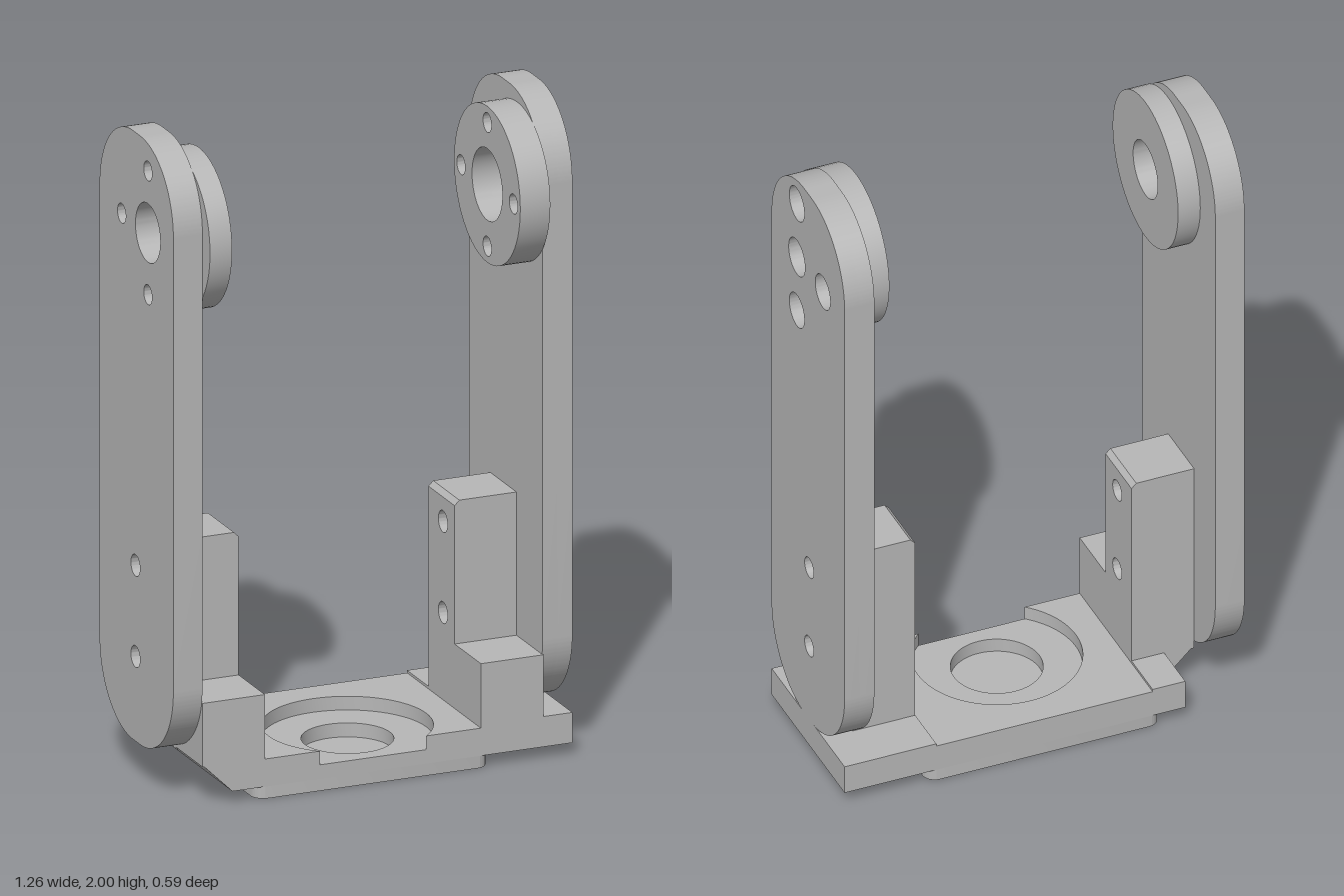
import * as THREE from 'three';
import { toCreasedNormals } from 'three/addons/utils/BufferGeometryUtils.js';

const BACK = -0.295, FRONT = 0.24;      // z limits of the bracket
const HUB = { z: 0.055, y: 1.72 };      // pivot axis

export function createModel() {
  const model = new THREE.Group();
  model.name = 'uBracket';
  const metal = new THREE.MeshStandardMaterial({ color: 0xb6b6b6 });
  metal.name = 'grey metal';

  const add = (name, geometry, parent = model) => {
    const mesh = new THREE.Mesh(toCreasedNormals(geometry, 0.5), metal);
    mesh.name = name;
    parent.add(mesh);
    return mesh;
  };
  const box = (name, x0, x1, y0, y1, z0, z1, parent) =>
    add(name, new THREE.BoxGeometry(x1 - x0, y1 - y0, z1 - z0)
      .translate((x0 + x1) / 2, (y0 + y1) / 2, (z0 + z1) / 2).toNonIndexed(), parent);
  const extrude = (shape, depth) =>
    new THREE.ExtrudeGeometry(shape, { depth, bevelEnabled: false, curveSegments: 32 });
  // Shape drawn in (-z, y), extruded along x
  const alongX = (shape, x0, x1) =>
    extrude(shape, x1 - x0).rotateY(Math.PI / 2).translate(x0, 0, 0);
  // Shape drawn in (x, -z), extruded upward
  const alongY = (shape, y0, y1) =>
    extrude(shape, y1 - y0).rotateX(-Math.PI / 2).translate(0, y0, 0);

  const roundedRect = (x0, x1, y0, y1, r) => {
    const s = new THREE.Shape();
    s.absarc(x1 - r, y0 + r, r, -Math.PI / 2, 0);
    s.absarc(x1 - r, y1 - r, r, 0, Math.PI / 2);
    s.absarc(x0 + r, y1 - r, r, Math.PI / 2, Math.PI);
    s.absarc(x0 + r, y0 + r, r, Math.PI, Math.PI * 1.5);
    s.closePath();
    return s;
  };
  const circle = (z, y, r) => new THREE.Path().absarc(-z, y, r, 0, Math.PI * 2, true);
  const rect = (z0, z1, y0, y1) => new THREE.Shape([
    new THREE.Vector2(-z1, y0), new THREE.Vector2(-z0, y0),
    new THREE.Vector2(-z0, y1), new THREE.Vector2(-z1, y1)]);

  const screws = (r) => [circle(-0.035, 0.39, r), circle(-0.035, 0.67, r)];
  const hubScrews = (r) => [
    circle(HUB.z, HUB.y + 0.19, r), circle(HUB.z, HUB.y - 0.19, r),
    circle(HUB.z - 0.19, HUB.y, r)];

  // Upright arms
  const armLayer = (name, x0, x1, hubR, screwR) => {
    const s = roundedRect(-FRONT, -BACK, 0.13, 2, 0.24);
    s.holes = [circle(HUB.z, HUB.y, hubR), ...hubScrews(screwR), ...screws(0.033)];
    add(name, alongX(s, x0, x1));
  };
  armLayer('leftArmInner', 0.538, 0.585, 0.06, 0.03);
  armLayer('leftArmOuter', 0.585, 0.632, 0.06, 0.055);   // counterbored screws
  armLayer('rightArm', -0.632, -0.54, 0.09, 0.03);

  // Pivot discs on the inner faces of the arms
  const disc = (name, x0, x1, holes) => {
    const s = new THREE.Shape();
    s.absarc(-HUB.z, HUB.y, 0.24, 0, Math.PI * 2);
    s.holes = holes;
    add(name, alongX(s, x0, x1));
  };
  disc('leftPivotDisc', 0.443, 0.538, [circle(HUB.z, HUB.y, 0.11),
    ...hubScrews(0.03), circle(HUB.z + 0.19, HUB.y, 0.03)]);
  disc('rightPivotDisc', -0.54, -0.47, [circle(HUB.z, HUB.y, 0.09)]);

  // Mounting posts with blind screw holes and front steps
  for (const [side, label] of [[1, 'left'], [-1, 'right']]) {
    const post = new THREE.Group();
    post.name = label + 'Post';
    model.add(post);
    const layer = (name, a, b, holes, chamfer) => {
      const s = rect(-0.14, 0.05, 0.12, 0.76);
      s.holes = holes;
      const g = alongX(s, Math.min(a * side, b * side), Math.max(a * side, b * side));
      if (chamfer) {
        const p = g.attributes.position;
        for (let i = 0; i < p.count; i++)
          if (Math.abs(p.getX(i) - a * side) < 1e-4 && p.getY(i) > 0.75) p.setY(i, 0.745);
        g.computeVertexNormals();
      }
      add(name, g, post);
    };
    layer('postFace', 0.342, 0.357, screws(0.033), true);
    layer('postMiddle', 0.357, 0.43, screws(0.033));
    layer('postRoot', 0.43, 0.54, []);
    const xs = [0.342 * side, 0.54 * side].sort((a, b) => a - b);
    box('frontStep', xs[0], xs[1], 0.125, 0.32, 0.05, FRONT, post);
  }

  // Base wings: a full one on the left, a chamfered one on the right
  box('leftWing', 0.342, 0.632, 0.037, 0.13, BACK, FRONT);
  const wing = new THREE.Shape([[-0.342, 0.037], [-0.342, 0.13], [-0.54, 0.13], [-0.445, 0.037]]
    .map(([x, y]) => new THREE.Vector2(x, y)));
  add('rightWing', extrude(wing, FRONT + 0.14).translate(0, 0, -0.14));
  box('rightWingTab', -0.445, -0.342, 0.037, 0.13, BACK, -0.14);

  // Base centre: lower layer with bore, upper layer with a round seat open to the front
  const floor = rect(-0.342, 0.342, -FRONT, -BACK);
  floor.holes = [circle(0, -HUB.z, 0.135)];
  add('baseFloor', alongY(floor, 0.037, 0.08));

  const R = 0.25, dz = FRONT - HUB.z, half = Math.sqrt(R * R - dz * dz);
  const seat = new THREE.Shape();
  seat.moveTo(-0.342, -FRONT);
  seat.lineTo(-half, -FRONT);
  seat.absarc(0, -HUB.z, R, Math.atan2(-dz, -half), Math.atan2(-dz, half), true);
  seat.lineTo(0.342, -FRONT);
  seat.lineTo(0.342, -BACK);
  seat.lineTo(-0.342, -BACK);
  seat.closePath();
  add('baseSeat', alongY(seat, 0.08, 0.122));

  // Foot plate with rounded corners
  add('footPlate', alongY(roundedRect(-0.37, 0.37, -FRONT, -BACK, 0.04), 0, 0.037));

  return model;
}
